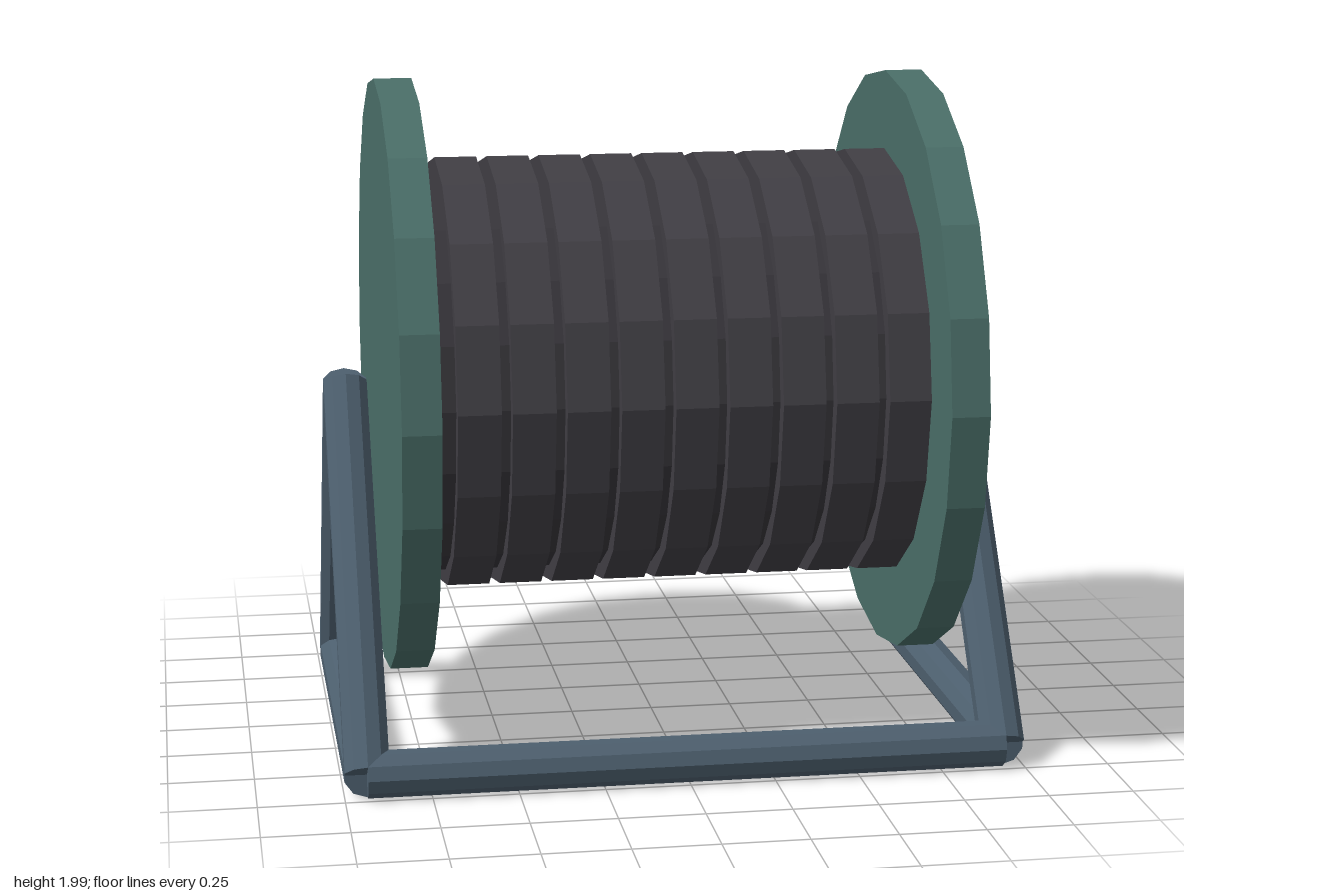
import * as THREE from 'three';

const mat = (name, color) => {
  const m = new THREE.MeshStandardMaterial({ color, flatShading: true });
  m.name = name;
  return m;
};

export function createModel() {
  const group = new THREE.Group();
  const green = mat('flange green', 0x4a6e68);
  const steel = mat('frame blue grey', 0x4d5f6e);
  const cable = mat('cable charcoal', 0x403e44);
  const core = mat('core dark grey', 0x37353a);
  const up = new THREE.Vector3(0, 1, 0);

  // Straight cylinder between two points
  function rod(name, a, b, radius, sides, material) {
    const start = new THREE.Vector3(...a), end = new THREE.Vector3(...b);
    const dir = end.clone().sub(start);
    const mesh = new THREE.Mesh(new THREE.CylinderGeometry(radius, radius, dir.length(), sides), material);
    mesh.position.copy(start).add(end).multiplyScalar(0.5);
    mesh.quaternion.setFromUnitVectors(up, dir.normalize());
    mesh.name = name;
    group.add(mesh);
  }

  // Spool: core, cable windings and end flanges
  const axisY = 1.092;
  const disc = (name, x0, x1, r, sides, m) => rod(name, [x0, axisY, 0], [x1, axisY, 0], r, sides, m);
  disc('drumCore', -0.73, 0.73, 0.6, 20, core);
  for (let i = 0; i < 9; i++) {
    const x = -0.655 + i * 0.1565;
    disc('cableWinding' + (i + 1), x, x + 0.125, 0.652, 16, cable);
  }
  disc('rightFlange', -0.832, -0.72, 0.89, 20, green);
  disc('leftFlange', 0.72, 0.832, 0.89, 20, green);

  // Stand: one triangular frame at each end, joined by a front bar
  const r = 0.068, low = 0.065, apex = 1.065, front = 0.71, back = -0.58, sideX = 0.935;
  for (const [side, x] of [['left', sideX], ['right', -sideX]]) {
    rod(side + 'FrontLeg', [x, low, front], [x, apex, 0], r, 10, steel);
    rod(side + 'BackLeg', [x, low, back], [x, apex, 0], r, 10, steel);
    rod(side + 'BaseBar', [x, low, front], [x, low, back], r, 10, steel);
  }
  rod('frontCrossBar', [-sideX, low, front], [sideX, low, front], r, 10, steel);

  return group;
}
